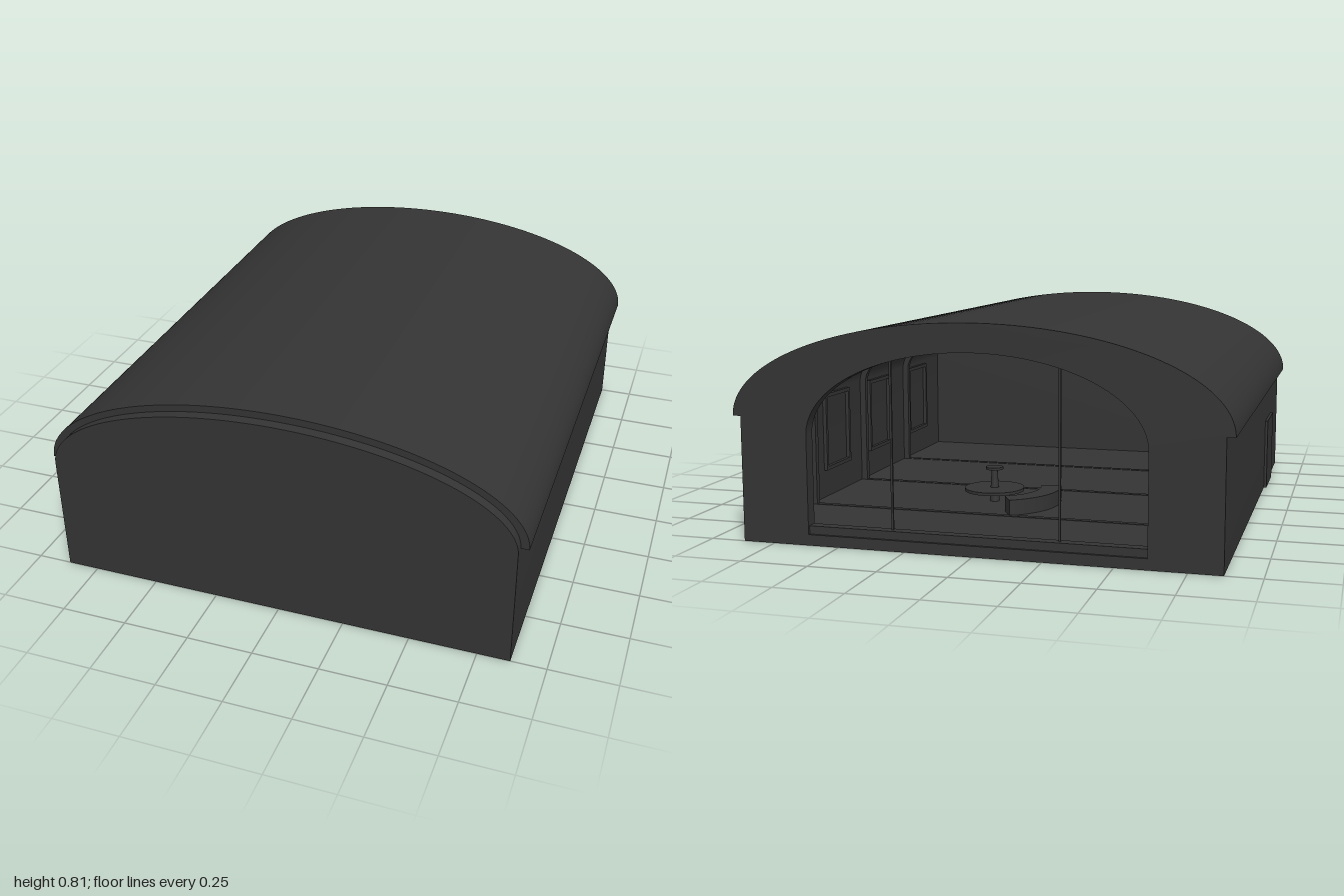
import * as THREE from 'three';
import { toCreasedNormals } from 'three/addons/utils/BufferGeometryUtils.js';

export function createModel() {
  const model = new THREE.Group();
  model.name = 'archedHall';
  const charcoal = new THREE.MeshStandardMaterial({ color: 0x343434 });
  charcoal.name = 'charcoal';

  const add = (name, geometry, x = 0, y = 0, z = 0, parent = model) => {
    const mesh = new THREE.Mesh(geometry, charcoal);
    mesh.name = name;
    mesh.position.set(x, y, z);
    parent.add(mesh);
    return mesh;
  };
  const box = (name, w, h, d, x, y, z) => add(name, new THREE.BoxGeometry(w, h, d), x, y, z);

  // Upright walls closed by a half ellipse
  const trace = (path, halfWidth, base, spring, rise) => {
    path.moveTo(-halfWidth, base);
    path.lineTo(halfWidth, base);
    path.lineTo(halfWidth, spring);
    path.absellipse(0, spring, halfWidth, rise, 0, Math.PI, false);
    path.closePath();
    return path;
  };
  const extrude = (name, shape, z0, z1) => {
    const geometry = new THREE.ExtrudeGeometry(shape, { depth: z1 - z0, bevelEnabled: false, curveSegments: 48 });
    return add(name, toCreasedNormals(geometry, 0.5), 0, 0, z0);
  };
  const archWall = (name, outer, inner, z0, z1) => {
    const shape = trace(new THREE.Shape(), ...outer);
    if (inner) shape.holes.push(trace(new THREE.Path(), ...inner));
    return extrude(name, shape, z0, z1);
  };
  const body = [0.87, 0, 0.46, 0.325];

  // Hall body, closed front and open back
  archWall('hallShell', body, [0.84, 0.03, 0.46, 0.295], -0.95, 0.96);
  archWall('frontWall', body, null, 0.96, 1);
  archWall('backWall', body, [0.615, 0.04, 0.4, 0.31], -1, -0.95);

  // Curved roof overhanging the side walls
  const roof = new THREE.Shape();
  roof.moveTo(0.9, 0.46);
  roof.absellipse(0, 0.46, 0.9, 0.352, 0, Math.PI, false);
  roof.lineTo(-0.868, 0.46);
  roof.absellipse(0, 0.46, 0.868, 0.325, Math.PI, 0, true);
  roof.closePath();
  extrude('roof', roof, -1, 0.96);

  // Side door
  box('sideDoor', 0.012, 0.295, 0.25, -0.875, 0.1475, 0.535);

  // Sill and slim posts in the opening
  box('sill', 1.23, 0.03, 0.04, 0, 0.055, -0.97);
  for (const x of [-0.305, 0.305]) box('openingPost', 0.008, 0.62, 0.008, x, 0.36, -0.965);

  // Ceiling ribs
  for (const z of [-0.5, 0, 0.5]) {
    archWall('ceilingRib', [0.842, 0.029, 0.46, 0.296], [0.815, 0.028, 0.46, 0.27].map((v, i) => i === 1 ? 0.032 : v), z - 0.012, z + 0.012);
  }

  // Framed panels on the left inner wall
  for (const z of [-0.27, 0.18, 0.65]) {
    for (const dz of [-0.11, 0.11]) box('frameUpright', 0.015, 0.3, 0.015, 0.833, 0.3, z + dz);
    for (const y of [0.15, 0.45]) box('frameRail', 0.015, 0.015, 0.235, 0.833, y, z);
  }

  // Round table with a central stand
  const table = new THREE.Group();
  table.name = 'roundTable';
  table.position.set(0.15, 0.03, -0.26);
  model.add(table);
  add('tableTop', new THREE.CylinderGeometry(0.12, 0.12, 0.012, 32), 0, 0.05, 0, table);
  add('tableStem', new THREE.CylinderGeometry(0.012, 0.02, 0.13, 16), 0, 0.065, 0, table);
  add('tableCap', new THREE.CylinderGeometry(0.035, 0.035, 0.01, 24), 0, 0.135, 0, table);

  // Curved bench beside the table
  const bench = new THREE.Shape();
  bench.absarc(0, 0, 0.27, 0.2, 1.6, false);
  bench.absarc(0, 0, 0.19, 1.6, 0.2, true);
  bench.closePath();
  const seat = add('curvedBench', new THREE.ExtrudeGeometry(bench, { depth: 0.06, bevelEnabled: false, curveSegments: 24 }), 0.15, 0.03, -0.26);
  seat.rotation.set(-Math.PI / 2, 0, Math.PI * 0.6);

  return model;
}
